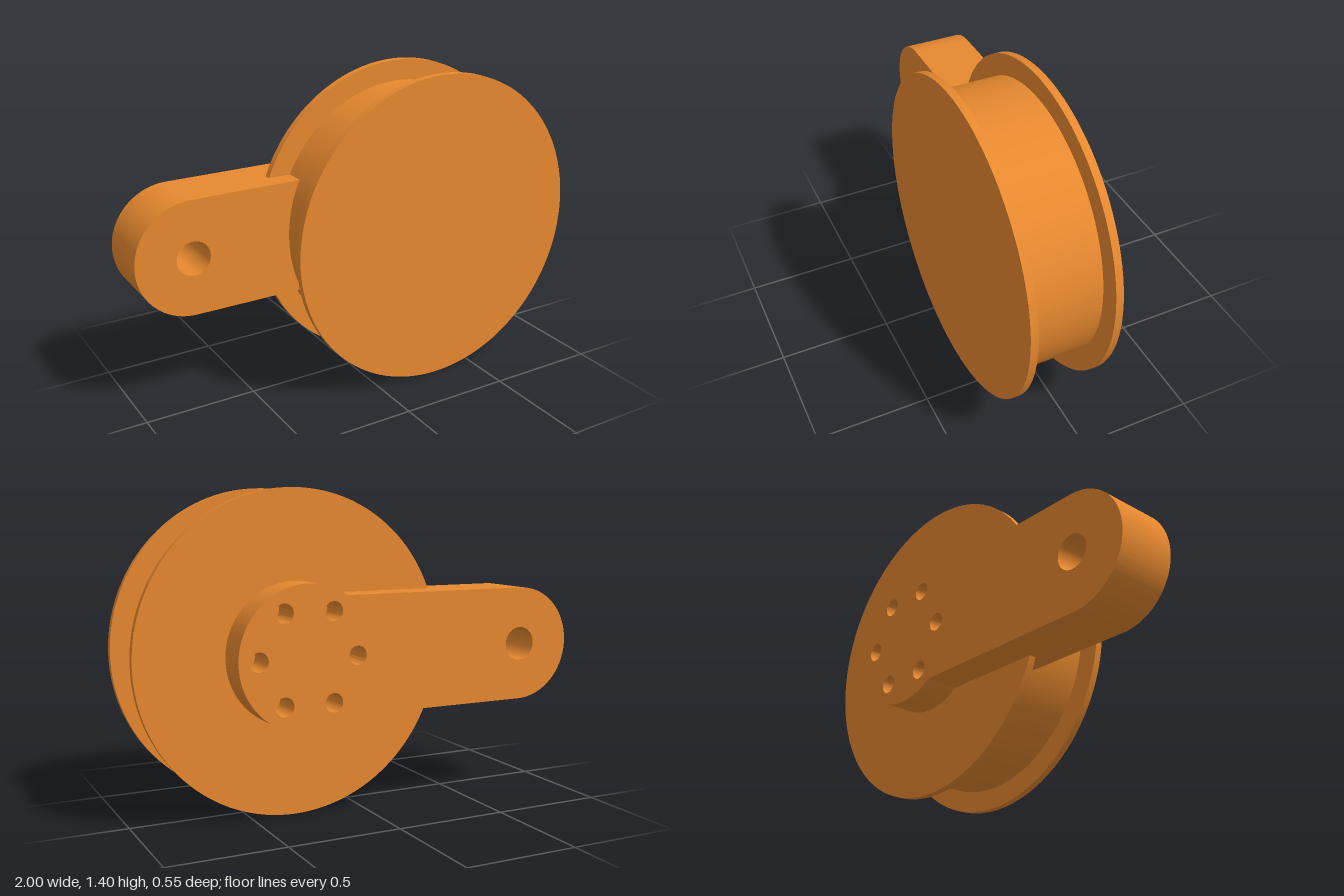
import * as THREE from 'three';
import { toCreasedNormals } from 'three/addons/utils/BufferGeometryUtils.js';

const wheelX = 0.302, midY = 0.698;      // wheel axis
const flangeR = 0.698, drumR = 0.605;
const armX = -0.745, armR = 0.255, pinR = 0.075, bossR = 0.31;
const zBack = -0.273, zSeat = -0.12, zLug = 0, zFront = 0.273;

export function createModel() {
  const model = new THREE.Group();
  const material = new THREE.MeshStandardMaterial({ color: 0xe8892f });

  const add = (name, geometry) => {
    const mesh = new THREE.Mesh(toCreasedNormals(geometry, 0.5), material);
    mesh.name = name;
    model.add(mesh);
  };
  const hole = (x, y, r) => new THREE.Path().absarc(x, y, r, 0, Math.PI * 2, true);
  const plate = (shape, z0, z1) => new THREE.ExtrudeGeometry(shape, {
    depth: z1 - z0, bevelEnabled: false, curveSegments: 48,
  }).translate(0, 0, z0);

  // Outline with a rounded pin end, closed by an arc about the wheel axis
  const armOutline = (radius, clockwise) => {
    const a = Math.asin(armR / radius);
    const shape = new THREE.Shape();
    shape.absarc(armX, midY, armR, Math.PI / 2, Math.PI * 1.5, false);
    shape.absarc(wheelX, midY, radius, Math.PI + a, Math.PI - a, clockwise);
    shape.closePath();
    shape.holes.push(hole(armX, midY, pinR));
    return shape;
  };

  // Spool: drum between two thin flanges
  const profile = [
    [0, zSeat], [flangeR, zSeat], [flangeR, -0.087], [drumR, -0.087],
    [drumR, 0.24], [flangeR, 0.24], [flangeR, zFront], [0, zFront],
  ].map(([r, z]) => new THREE.Vector2(r, z));
  add('spool', new THREE.LatheGeometry(profile, 128)
    .rotateX(Math.PI / 2).translate(wheelX, midY, 0));

  // Back arm with round boss and a ring of six bolt holes
  const arm = armOutline(bossR, false);
  for (let i = 0; i < 6; i++) {
    const t = i * Math.PI / 3;
    arm.holes.push(hole(wheelX + 0.222 * Math.cos(t), midY + 0.222 * Math.sin(t), 0.041));
  }
  add('arm', plate(arm, zBack, zSeat));

  // Thick pin end of the arm, reaching in to the drum
  add('armLug', plate(armOutline(drumR - 0.005, true), zSeat, zLug));

  return model;
}
